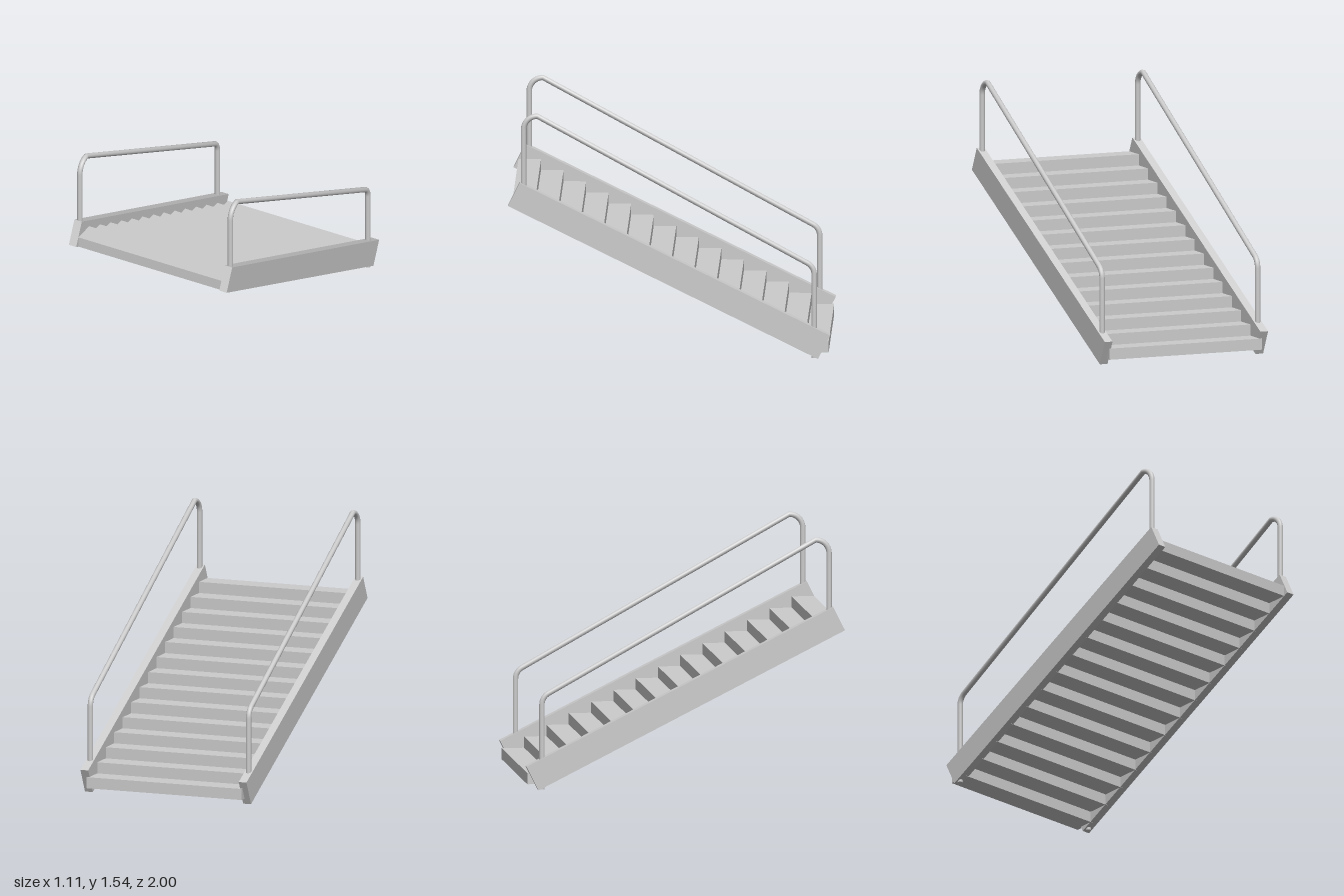
import * as THREE from 'three';

const STEPS = 14, RISE = 0.07, RUN = 0.14;
const SIDE_X = 0.53, RAIL_R = 0.017;

// Path through given points, with tangents averaged so that bends are mitred
class RailPath extends THREE.Curve {
  constructor(points) {
    super();
    this.points = points;
  }
  index(t) {
    return Math.round(t * (this.points.length - 1));
  }
  getPointAt(t) {
    return this.points[this.index(t)].clone();
  }
  getTangentAt(t) {
    const p = this.points, i = this.index(t), last = p.length - 1;
    const dir = (a) => p[a + 1].clone().sub(p[a]).normalize();
    return dir(Math.max(i - 1, 0)).add(dir(Math.min(i, last - 1))).normalize();
  }
}

// Handrail centre line in the plane x = 0: post, bend, slope, bend, post
function railPoints() {
  const pts = [];
  const add = (z, y) => pts.push(new THREE.Vector3(0, y, z));
  const bend = (z, y, r, from, to, n) => {
    for (let i = 0; i <= n; i++) {
      const a = from + (to - from) * i / n;
      add(z + r * Math.cos(a), y + r * Math.sin(a));
    }
  };
  add(0.904, 1.0);
  bend(0.819, 1.443, 0.085, 0, Math.PI / 2, 10);
  bend(-0.82, 0.535, 0.08, Math.PI * 0.66, Math.PI, 8);
  add(-0.9, 0.003);
  return pts;
}

export function createModel() {
  const group = new THREE.Group();
  const material = new THREE.MeshStandardMaterial({ color: 0xcccccc });
  const add = (name, geometry, parent = group) => {
    const mesh = new THREE.Mesh(geometry, material);
    mesh.name = name;
    parent.add(mesh);
    return mesh;
  };

  // Solid steps, climbing towards +z
  const steps = new THREE.Group();
  steps.name = 'steps';
  group.add(steps);
  const stepGeometry = new THREE.BoxGeometry(1.04, RISE, RUN);
  for (let i = 0; i < STEPS; i++) {
    add('step', stepGeometry, steps).position.set(0, 0.07 + RISE * i, -0.92 + RUN * i);
  }

  // Sloping side board, drawn as (z, y) and extruded across x
  const profile = new THREE.Shape([
    new THREE.Vector2(-0.925, 0), new THREE.Vector2(1, 0.96),
    new THREE.Vector2(0.927, 1.107), new THREE.Vector2(-1, 0.15),
  ]);
  const stringer = new THREE.ExtrudeGeometry(profile, { depth: 0.052, bevelEnabled: false });
  stringer.rotateY(-Math.PI / 2).translate(0.026, 0, 0);

  // Handrail tube, closed at both feet
  const points = railPoints();
  const tube = new THREE.TubeGeometry(new RailPath(points), points.length - 1, RAIL_R, 12, false);
  const cap = new THREE.CircleGeometry(RAIL_R, 12).rotateX(Math.PI / 2);

  for (const [side, sign] of [['left', 1], ['right', -1]]) {
    add(side + 'Stringer', stringer).position.x = sign * SIDE_X;
    const rail = new THREE.Group();
    rail.name = side + 'Handrail';
    rail.position.x = sign * SIDE_X;
    group.add(rail);
    add('railTube', tube, rail);
    for (const foot of [points[0], points[points.length - 1]]) {
      add('railFoot', cap, rail).position.copy(foot);
    }
  }
  return group;
}
